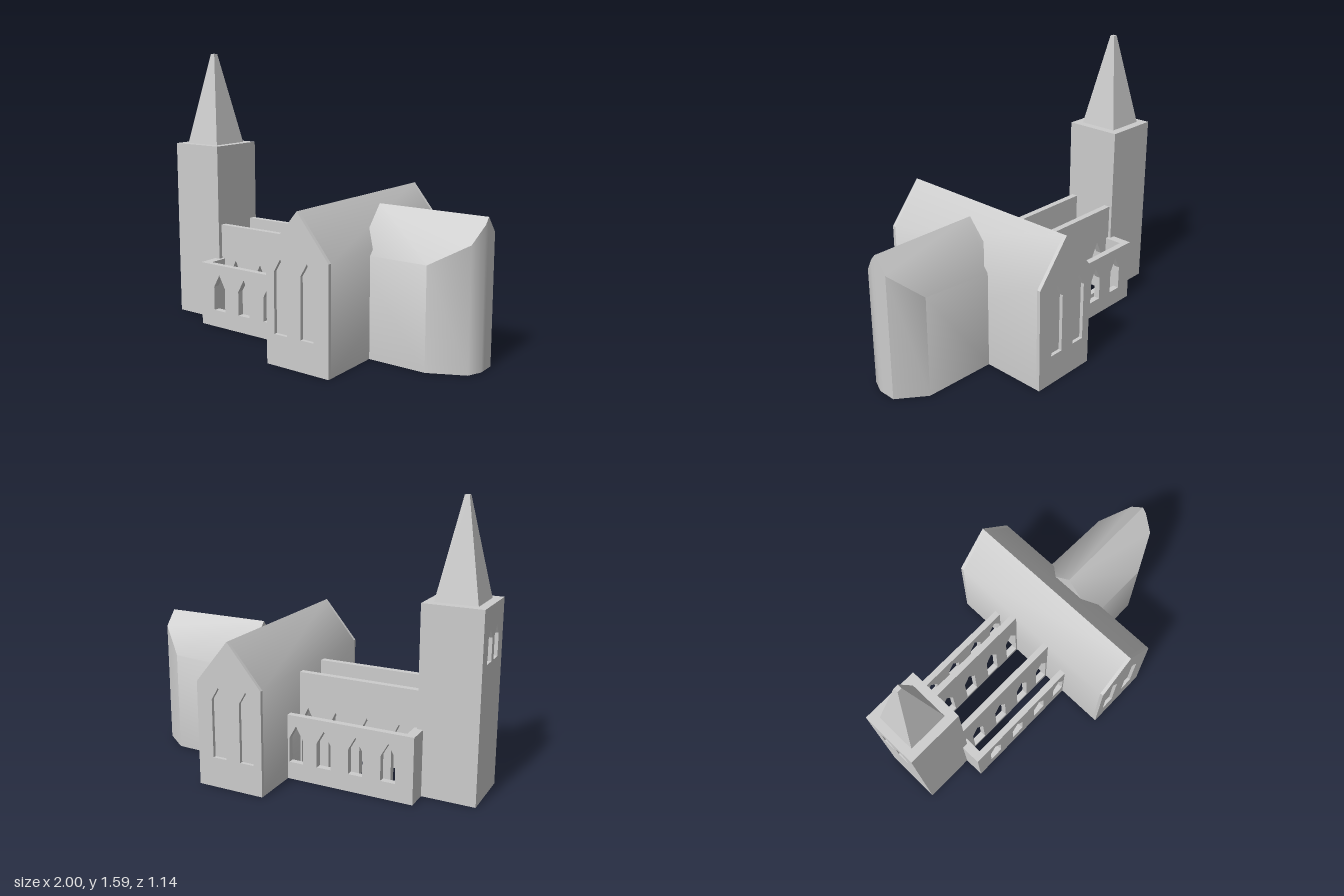
import * as THREE from 'three';
import { toCreasedNormals } from 'three/addons/utils/BufferGeometryUtils.js';

const stone = new THREE.MeshStandardMaterial({ color: 0xcccccc });
stone.name = 'grey stone';

// Pointed window outline
function lancet([x, w, y0, shoulder, tip]) {
  return new THREE.Path([[x - w / 2, y0], [x + w / 2, y0], [x + w / 2, shoulder], [x, tip], [x - w / 2, shoulder]]
    .map(p => new THREE.Vector2(...p)));
}

// Upright slab with window holes, from z = 0 to z = depth
function slab(points, depth, windows = []) {
  const shape = new THREE.Shape(points.map(p => new THREE.Vector2(...p)));
  shape.holes = windows.map(lancet);
  return new THREE.ExtrudeGeometry(shape, { depth, bevelEnabled: false });
}

const rect = (x0, x1, y1) => [[x0, 0], [x1, 0], [x1, y1], [x0, y1]];

function box(x0, x1, y0, y1, z0, z1) {
  return new THREE.BoxGeometry(x1 - x0, y1 - y0, z1 - z0)
    .translate((x0 + x1) / 2, (y0 + y1) / 2, (z0 + z1) / 2);
}

// Choir: gabled roof over a faceted, rounded east end
function choirGeometry() {
  const outline = [[0.36, -0.205], [0.435, -0.205], [0.85, -0.19], [1, -0.075], [1, 0],
    [1, 0.03], [0.965, 0.11], [0.77, 0.205], [0.36, 0.205], [0.36, 0]];
  const low = ([x, z]) => [x, 0, z];
  const high = ([x, z]) => [x, 0.8 - 1.17 * Math.abs(z), z];
  const centre = [0.36, 0];
  const pos = [];
  outline.forEach((a, i) => {
    const b = outline[(i + 1) % outline.length];
    pos.push(...low(a), ...high(a), ...high(b), ...low(a), ...high(b), ...low(b));
    if (a[0] > 0.36 || b[0] > 0.36) {
      pos.push(...high(centre), ...high(b), ...high(a));
      pos.push(...low(centre), ...low(a), ...low(b));
    }
  });
  const g = new THREE.BufferGeometry();
  g.setAttribute('position', new THREE.Float32BufferAttribute(pos, 3));
  return toCreasedNormals(g, 0.75);
}

export function createModel() {
  const church = new THREE.Group();
  church.name = 'church';
  const add = (name, geometry) => {
    const mesh = new THREE.Mesh(geometry, stone);
    mesh.name = name;
    church.add(mesh);
    return mesh;
  };
  const recess = 0.02;

  // Tower with a pair of recessed windows on its west face
  add('tower', box(-1 + recess, -0.667, 0, 1.05, -0.17, 0.166));
  const belfry = [-0.057, 0.052].map(z => [z, 0.075, 0.75, 0.875, 0.93]);
  add('towerWestFace', slab(rect(-0.17, 0.166, 1.05), recess, belfry)
    .rotateY(-Math.PI / 2).translate(-1 + recess, 0, 0));

  // Four-sided spire
  const spire = new THREE.CylinderGeometry(0.013 * Math.SQRT2, 0.117 * Math.SQRT2, 0.535, 4)
    .rotateY(Math.PI / 4);
  add('spire', toCreasedNormals(spire, 0.3).translate(-0.834, 1.3175, -0.002));

  // Open nave and aisles: pierced walls on both sides, joined by end walls
  const bays = [-0.558, -0.37, -0.182, -0.012];
  const aisleWindows = bays.map(x => [x, 0.084, 0.1, 0.24, 0.315]);
  const naveArches = bays.map(x => [x, 0.084, 0.03, 0.29, 0.375]);
  for (const side of [1, -1]) {
    const back = side < 0;
    add('aisleWall', slab(rect(-0.7, 0.05, 0.375), 0.037, aisleWindows)
      .translate(0, 0, back ? -0.295 : 0.25));
    add('naveWall', slab(rect(-0.67, 0.05, 0.58), 0.037, naveArches)
      .translate(0, 0, back ? -0.152 : 0.105));
    add('aisleEndWall', box(-0.7, -0.647, 0, 0.375, back ? -0.258 : 0.142, back ? -0.152 : 0.25));
  }

  // Gabled transept with recessed windows in both ends
  const gable = [[0.04, 0], [0.435, 0], [0.435, 0.59], [0.24, 0.83], [0.04, 0.59]];
  const gableWindows = [0.132, 0.302].map(x => [x, 0.082, 0.17, 0.5, 0.57]);
  add('transept', toCreasedNormals(slab(gable, 1.145 - 2 * recess), 0.75)
    .translate(0, 0, -0.574 + recess));
  add('transeptFrontGable', slab(gable, recess, gableWindows).translate(0, 0, 0.571 - recess));
  add('transeptBackGable', slab(gable, recess, gableWindows).translate(0, 0, -0.574));

  add('choir', choirGeometry());
  return church;
}
